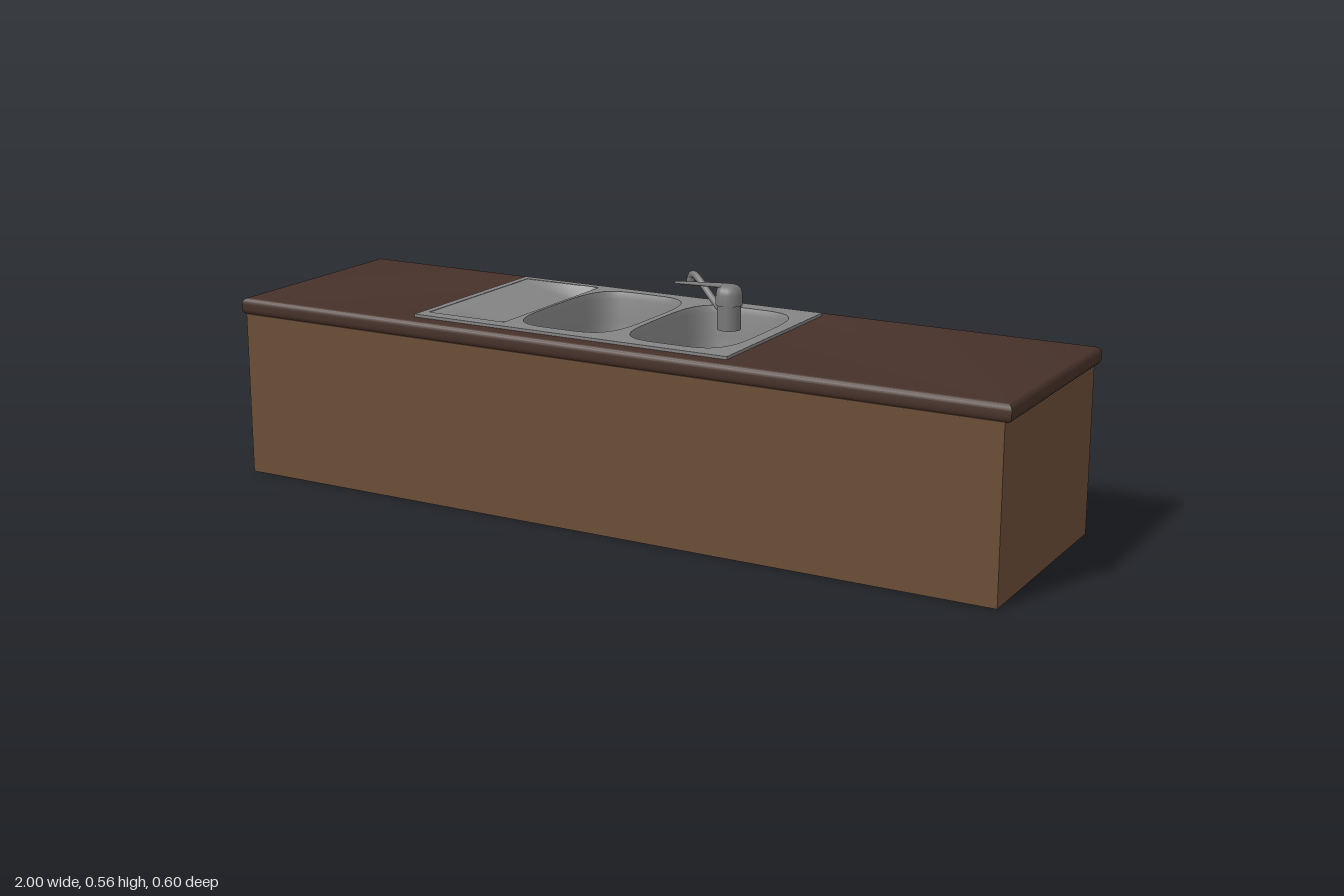
import * as THREE from 'three';
import { toCreasedNormals } from 'three/addons/utils/BufferGeometryUtils.js';

const mat = (name, color, extra = {}) => new THREE.MeshStandardMaterial({ name, color, ...extra });

export function createModel() {
  const wood = mat('cabinet wood', 0x6a4d36);
  const dark = mat('dark wood', 0x463129);
  const steel = mat('sink steel', 0x848484, { side: THREE.DoubleSide });
  const metal = mat('tap metal', 0x777777);
  const root = new THREE.Group();
  root.name = 'kitchenSinkUnit';

  const add = (name, geo, material, parent = root) => {
    const m = new THREE.Mesh(geo, material);
    m.name = name;
    parent.add(m);
    return m;
  };
  // Box given by its limits on each axis
  const box = (name, [x0, x1], [y0, y1], [z0, z1], material, parent) => {
    const m = add(name, new THREE.BoxGeometry(x1 - x0, y1 - y0, z1 - z0), material, parent);
    m.position.set((x0 + x1) / 2, (y0 + y1) / 2, (z0 + z1) / 2);
    return m;
  };
  // Flat outlines lie in x and -z, and are extruded upwards
  const rectPoints = (x0, x1, z0, z1) =>
    [[x0, -z1], [x1, -z1], [x1, -z0], [x0, -z0]].map(p => new THREE.Vector2(...p));
  const slab = (outline, holes, options) => {
    const shape = new THREE.Shape(outline);
    shape.holes = holes.map(h => new THREE.Path(h));
    return new THREE.ExtrudeGeometry(shape, options).rotateX(-Math.PI / 2);
  };

  // Cabinet carcass with an open compartment at the right end of the back
  box('frontPanel', [-0.99, 0.985], [0, 0.405], [0.285, 0.298], wood);
  box('leftEnd', [0.97, 0.985], [0, 0.405], [-0.262, 0.285], wood);
  box('rightEnd', [-0.99, -0.97], [0, 0.405], [-0.262, 0.285], wood);
  box('cabinetFloor', [-0.97, 0.97], [0, 0.02], [-0.262, 0.285], wood);
  box('backFrame', [-0.555, 0.97], [0.02, 0.405], [-0.262, -0.245], wood);
  box('compartmentSide', [-0.555, -0.54], [0.02, 0.405], [-0.245, 0.14], wood);
  box('compartmentBack', [-0.97, -0.54], [0.02, 0.405], [0.13, 0.14], wood);

  // Countertop with rounded edges and a cut-out for the sink
  const top = slab(rectPoints(-0.985, 0.985, -0.25, 0.287), [rectPoints(-0.505, 0.32, -0.22, 0.255)],
    { depth: 0.013, bevelThickness: 0.015, bevelSize: 0.015, bevelSegments: 5 });
  add('countertop', toCreasedNormals(top, 0.6), dark).position.y = 0.417;

  // Handle: a small hooked lip
  const hook = new THREE.Shape([[0, 0.004], [0.006, 0.004], [0.007, -0.014], [0.013, -0.012],
    [0.013, 0.012], [0, 0.01]].map(p => new THREE.Vector2(...p)));
  const hookGeo = new THREE.ExtrudeGeometry(hook, { depth: 0.026, bevelEnabled: false })
    .translate(0, 0, -0.013).rotateY(Math.PI / 2);
  const handle = (parent, x, y, z) => add('handle', hookGeo, metal, parent).position.set(x, y, z);

  // Drawers
  for (const [y0, y1] of [[0.02, 0.138], [0.146, 0.266], [0.273, 0.393]]) {
    const g = new THREE.Group();
    g.name = 'drawer';
    root.add(g);
    box('drawerBacking', [0.635, 0.9], [y0 + 0.006, y1 - 0.006], [-0.276, -0.262], dark, g);
    box('drawerFront', [0.62, 0.92], [y0, y1], [-0.288, -0.275], dark, g);
    handle(g, 0.76, (y0 + y1) / 2 + 0.027, -0.287);
  }

  // Doors: limits in x, then the handle position
  for (const [x0, x1, hx] of [[0.34, 0.6, 0.365], [0.055, 0.32, 0.08], [-0.245, 0.025, 0], [-0.51, -0.265, -0.487]]) {
    const g = new THREE.Group();
    g.name = 'door';
    root.add(g);
    box('doorBacking', [x0, x1], [0.02, 0.387], [-0.272, -0.262], dark, g);
    box('doorPanel', [x0 + 0.006, x1 - 0.006], [0.026, 0.381], [-0.283, -0.272], dark, g);
    handle(g, hx, 0.232, -0.282);
  }

  // Sink: plate, two bowls and a sloping drainer
  const sink = new THREE.Group();
  sink.name = 'sink';
  root.add(sink);
  const N = 48;
  const ring = (rx, rz) => Array.from({ length: N }, (_, i) => {
    const t = i / N * Math.PI * 2, c = Math.cos(t), s = Math.sin(t);
    return [rx * Math.sign(c) * Math.abs(c) ** 0.5, rz * Math.sign(s) * Math.abs(s) ** 0.5];
  });
  const bowls = [
    { x: -0.136, z: 0.013, rx: 0.136, rz: 0.208, drain: -0.142 },
    { x: 0.156, z: 0.02, rx: 0.139, rz: 0.202, drain: 0.15 },
  ];
  const bowlHoles = bowls.map(b => ring(b.rx, b.rz).map(([x, z]) => new THREE.Vector2(b.x + x, -b.z - z)));
  const tray = [-0.492, -0.28, -0.205, 0.225];
  add('sinkPlate', slab(rectPoints(-0.51, 0.325, -0.225, 0.26), [...bowlHoles, rectPoints(...tray)],
    { depth: 0.007, bevelEnabled: false }), steel, sink).position.y = 0.445;

  // Bowl cross-sections: scale and height
  const levels = [[1, 0.451], [0.97, 0.435], [0.94, 0.38], [0.9, 0.32], [0.84, 0.295], [0.74, 0.282], [0, 0.28]];
  for (const b of bowls) {
    const pos = [], idx = [];
    levels.forEach(([s, y], i) => ring(b.rx * s, b.rz * s).forEach(([x, z], j) => {
      pos.push(b.x + x, y, b.z + z);
      if (i === levels.length - 1) return;
      const a = i * N + j, d = i * N + (j + 1) % N;
      idx.push(a, a + N, d, a + N, d + N, d);
    }));
    const geo = new THREE.BufferGeometry();
    geo.setAttribute('position', new THREE.Float32BufferAttribute(pos, 3));
    geo.setIndex(idx);
    geo.computeVertexNormals();
    add('sinkBowl', geo, steel, sink);
    add('drain', new THREE.CylinderGeometry(0.029, 0.029, 0.006, 16), wood, sink)
      .position.set(b.drain, 0.284, 0.113);
  }

  // Drainer falls towards the bowls, meeting the plate around its border
  const [tx0, tx1, tz0, tz1] = tray;
  const drainer = new THREE.PlaneGeometry(tx1 - tx0, tz1 - tz0, 20, 24).rotateX(-Math.PI / 2)
    .translate((tx0 + tx1) / 2, 0, (tz0 + tz1) / 2);
  const p = drainer.attributes.position;
  for (let i = 0; i < p.count; i++) {
    const x = p.getX(i), z = p.getZ(i);
    const edge = Math.min(1, (tx1 - x) / 0.02, (z - tz0) / 0.02, (tz1 - z) / 0.08);
    p.setY(i, 0.451 - 0.04 * edge * (x - tx0) / (tx1 - tx0));
  }
  drainer.computeVertexNormals();
  add('drainer', drainer, steel, sink);

  // Mixer tap: turned body, spout and lever
  const tap = new THREE.Group();
  tap.name = 'tap';
  tap.position.set(0.197, 0, 0.006);
  root.add(tap);
  const profile = [[0, 0.446], [0.028, 0.446], [0.028, 0.504], [0.031, 0.504], [0.031, 0.53],
    [0.028, 0.541], [0.02, 0.549], [0.01, 0.552], [0, 0.553]].map(q => new THREE.Vector2(...q));
  add('tapBody', toCreasedNormals(new THREE.LatheGeometry(profile, 24), 0.7), metal, tap);

  const spoutPath = new THREE.CatmullRomCurve3([[-0.01, 0.472, -0.006], [-0.06, 0.503, -0.034],
    [-0.115, 0.54, -0.065], [-0.135, 0.547, -0.078], [-0.147, 0.542, -0.086], [-0.15, 0.53, -0.088]]
    .map(q => new THREE.Vector3(...q)));
  add('spout', new THREE.TubeGeometry(spoutPath, 24, 0.0085, 10), metal, tap);
  const spoutEnd = add('spoutMouth', new THREE.CylinderGeometry(0.0095, 0.0095, 0.01, 12), metal, tap);
  spoutEnd.position.set(-0.15, 0.531, -0.088);

  const lever = add('lever', new THREE.CylinderGeometry(0.008, 0.014, 0.125, 10)
    .rotateZ(Math.PI / 2).scale(1, 0.4, 1), metal, tap);
  lever.position.set(-0.065, 0.548, 0.014);
  lever.rotation.y = 0.22;

  return root;
}
